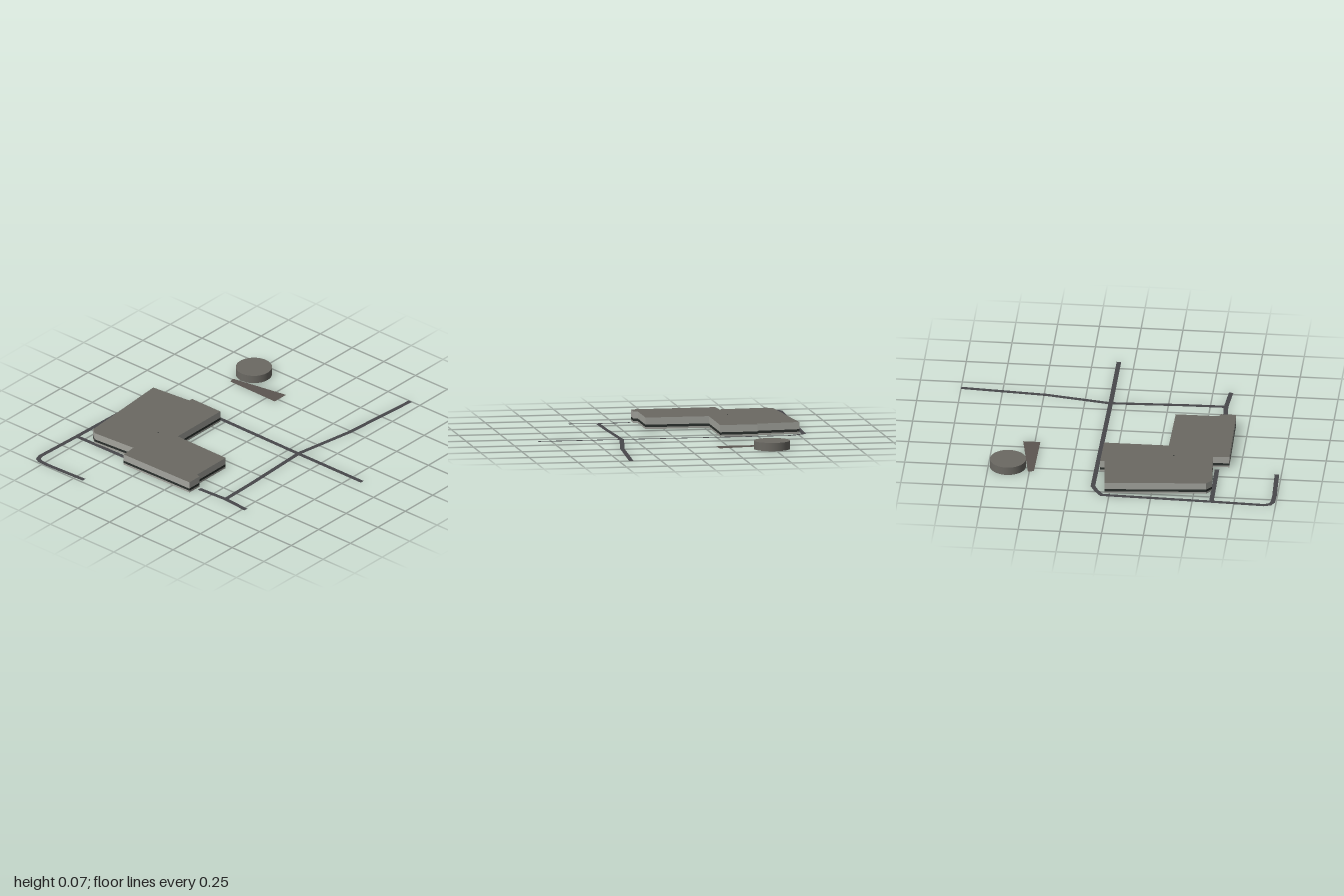
import * as THREE from 'three';

const ROOF = 0x6b6963, WALL = 0xa3a49d, BAND = 0x2b302d, ROAD = 0x47474b;

// Plan outlines and paths are [x, z] pairs on the ground.
const outline = [
  [-0.762, -0.03], [-0.5, -0.055], [-0.5, -0.08], [-0.275, -0.078], [-0.275, 0.31],
  [0.107, 0.315], [0.107, 0.575], [0.133, 0.583], [0.132, 0.675], [-0.38, 0.682],
  [-0.387, 0.585], [-0.675, 0.605], [-0.712, 0.575],
];
const wedge = [[-0.548, -0.508], [-0.183, -0.571], [-0.183, -0.468], [-0.537, -0.473]];
const roads = {
  mainRoad: [[0.83, -0.093], [0.32, -0.095], [-0.685, -0.106], [-0.735, -0.082], [-0.787, -0.045],
    [-0.807, 0.61], [-0.82, 0.93], [-0.808, 0.965], [-0.78, 0.98], [-0.7, 0.983], [-0.44, 0.973]],
  crossRoad: [[0.427, -1], [0.39, -0.487], [0.325, -0.1], [0.343, 0.345], [0.347, 0.595]],
  endRoad: [[0.15, 0.605], [0.347, 0.594], [0.52, 0.608]],
  sideRoad: [[-0.807, 0.615], [-0.415, 0.612]],
};

function add(parent, name, geometry, color, side = THREE.FrontSide) {
  const mesh = new THREE.Mesh(geometry, new THREE.MeshStandardMaterial({ color, side }));
  mesh.name = name;
  parent.add(mesh);
  return mesh;
}

function fromTriangles(points) {
  const g = new THREE.BufferGeometry();
  g.setAttribute('position', new THREE.Float32BufferAttribute(points.flat(), 3));
  g.computeVertexNormals();
  return g;
}

// Flat polygon facing up, or down when flipped
function slab(plan, y, down = false) {
  const s = down ? 1 : -1;
  const shape = new THREE.Shape(plan.map(([x, z]) => new THREE.Vector2(x, s * z)));
  return new THREE.ShapeGeometry(shape).rotateX(s * Math.PI / 2).translate(0, y, 0);
}

// Vertical wall strip around a plan
function wall(plan, y0, y1) {
  const tris = [];
  plan.forEach(([ax, az], i) => {
    const [bx, bz] = plan[(i + 1) % plan.length];
    const a0 = [ax, y0, az], a1 = [ax, y1, az], b0 = [bx, y0, bz], b1 = [bx, y1, bz];
    tris.push(b0, a0, a1, b0, a1, b1);
  });
  return fromTriangles(tris);
}

// Flat ribbon with mitred corners along a path
function ribbon(path, width, y) {
  const pts = path.map(([x, z]) => new THREE.Vector2(x, z));
  const normal = (i) => {
    const d = pts[i + 1].clone().sub(pts[i]).normalize();
    return new THREE.Vector2(-d.y, d.x);
  };
  const edges = pts.map((p, i) => {
    const a = normal(Math.max(i - 1, 0)), b = normal(Math.min(i, pts.length - 2));
    const m = a.clone().add(b).normalize();
    m.multiplyScalar(width / 2 / m.dot(a));
    return [[p.x + m.x, y, p.y + m.y], [p.x - m.x, y, p.y - m.y]];
  });
  const tris = [];
  for (let i = 0; i < edges.length - 1; i++) {
    const [l0, r0] = edges[i], [l1, r1] = edges[i + 1];
    tris.push(l0, l1, r0, r0, l1, r1);
  }
  return fromTriangles(tris);
}

export function createModel() {
  const model = new THREE.Group();
  model.name = 'sitePlan';

  // Main building: plinth, dark window band, upper wall and flat roof
  const building = new THREE.Group();
  building.name = 'building';
  model.add(building);
  add(building, 'plinth', wall(outline, 0, 0.012), WALL);
  add(building, 'windowBand', wall(outline, 0.012, 0.027), BAND);
  add(building, 'upperWall', wall(outline, 0.027, 0.07), WALL);
  add(building, 'roof', slab(outline, 0.07), ROOF);
  add(building, 'floor', slab(outline, 0, true), ROOF);
  const vent = add(building, 'roofVent', new THREE.CylinderGeometry(0.004, 0.004, 0.002, 8), BAND);
  vent.position.set(-0.395, 0.07, 0.35);

  // Round outbuilding
  const round = add(model, 'roundBuilding', new THREE.CylinderGeometry(0.108, 0.108, 0.05, 48), ROOF);
  round.position.set(-0.49, 0.025, -0.633);

  // Paved wedge beside it
  add(model, 'pavedWedge', slab(wedge, 0.001), 0x5c5651, THREE.DoubleSide);

  // Roads
  for (const [name, path] of Object.entries(roads))
    add(model, name, ribbon(path, 0.027, 0.001), ROAD, THREE.DoubleSide);

  return model;
}
